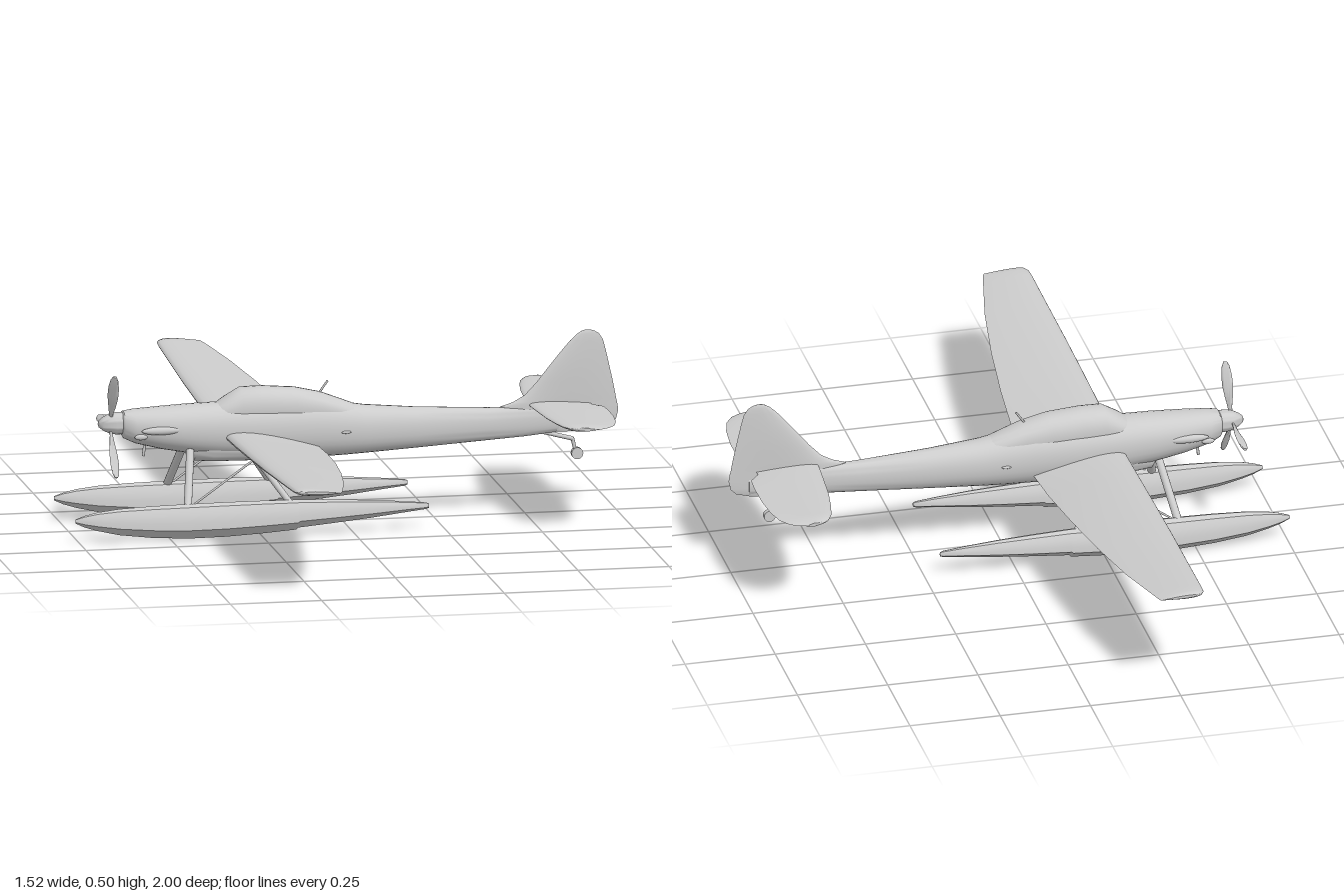
import * as THREE from 'three';
import { toCreasedNormals } from 'three/addons/utils/BufferGeometryUtils.js';

const V = (x, y, z) => new THREE.Vector3(x, y, z);

// Skin a list of rings (arrays of Vector3) and close both ends.
function loft(rings, crease = 0.7) {
  const n = rings[0].length, pos = [], idx = [];
  rings.forEach(r => r.forEach(p => pos.push(p.x, p.y, p.z)));
  for (let i = 0; i < rings.length - 1; i++) {
    for (let j = 0; j < n; j++) {
      const a = i * n + j, b = i * n + (j + 1) % n;
      idx.push(a, a + n, b, b, a + n, b + n);
    }
  }
  [0, rings.length - 1].forEach((r, end) => {
    const c = rings[r].reduce((s, p) => s.add(p), V(0, 0, 0)).divideScalar(n);
    const k = pos.length / 3;
    pos.push(c.x, c.y, c.z);
    for (let j = 0; j < n; j++) {
      const a = r * n + j, b = r * n + (j + 1) % n;
      if (end) idx.push(k, b, a); else idx.push(k, a, b);
    }
  });
  const g = new THREE.BufferGeometry();
  g.setAttribute('position', new THREE.Float32BufferAttribute(pos, 3));
  g.setIndex(idx);
  return toCreasedNormals(g, crease);
}

// Rounded cross-section of a body running along x: [x, bottom, top, halfWidth]
function bodyRing([x, y0, y1, w], n = 28) {
  const soft = v => Math.sign(v) * Math.abs(v) ** 0.88;
  return Array.from({ length: n }, (_, j) => {
    const t = j / n * Math.PI * 2;
    return V(x, (y0 + y1) / 2 + soft(Math.sin(t)) * (y1 - y0) / 2, soft(Math.cos(t)) * w);
  });
}

// Aerofoil outline as [position along chord 0..1, thickness offset]
function foil(thick, n = 28) {
  return Array.from({ length: n }, (_, j) => {
    const t = j / n * Math.PI * 2, u = (1 - Math.cos(t)) / 2;
    const h = 5 * thick * (0.2969 * Math.sqrt(u) - 0.126 * u - 0.3516 * u * u + 0.2843 * u ** 3 - 0.1036 * u ** 4);
    return [u, Math.sign(Math.sin(t)) * h];
  });
}

// Wing-like surface across z; rows: [z, leadX, trailX, leadY, trailY, thickness], mirrored to -z
function panel(rows) {
  const all = [...rows.slice().reverse().map(r => [-r[0], ...r.slice(1)]), ...rows];
  return loft(all.map(([z, x0, x1, y0, y1, t]) =>
    foil(t).map(([u, h]) => V(x0 + (x1 - x0) * u, y0 + (y1 - y0) * u + h, z))));
}

// Float cross-section with a V-shaped keel: [x, keel, top, halfWidth]
function floatRing([x, k, top, w]) {
  const h = top - k;
  const side = [[1, 0.3], [0.95, 0.5], [0.8, 0.74], [0.5, 0.93]];
  const pts = [...side, [0, 1], ...side.slice().reverse().map(([a, b]) => [-a, b]), [0, 0]];
  return pts.map(([a, b]) => V(x, k + h * b, a * w));
}

export function createModel() {
  const model = new THREE.Group();
  const grey = new THREE.MeshStandardMaterial({ color: 0xcccccc });
  grey.name = 'paleGrey';

  function add(name, geo, parent = model) {
    const m = new THREE.Mesh(geo, grey);
    m.name = name;
    parent.add(m);
    return m;
  }
  function strut(name, a, b, r, sides = 12) {
    const d = b.clone().sub(a);
    const m = add(name, new THREE.CylinderGeometry(r, r, d.length(), sides));
    m.position.copy(a).addScaledVector(d, 0.5);
    m.quaternion.setFromUnitVectors(V(0, 1, 0), d.normalize());
    return m;
  }
  function blob(name, p, s) {
    const m = add(name, new THREE.SphereGeometry(1, 20, 12));
    m.position.copy(p);
    m.scale.copy(s);
    return m;
  }

  // Fuselage, belly fairing and canopy
  add('fuselage', loft([
    [-0.605, 0.26, 0.32, 0.03], [-0.6, 0.252, 0.326, 0.037], [-0.57, 0.238, 0.33, 0.048],
    [-0.5, 0.22, 0.334, 0.058], [-0.42, 0.205, 0.338, 0.064], [-0.34, 0.195, 0.34, 0.066],
    [-0.2, 0.184, 0.34, 0.066], [-0.08, 0.181, 0.337, 0.063], [0, 0.183, 0.327, 0.058],
    [0.06, 0.186, 0.317, 0.053], [0.2, 0.194, 0.305, 0.041], [0.4, 0.206, 0.295, 0.025],
    [0.5, 0.212, 0.293, 0.017], [0.6, 0.222, 0.29, 0.011], [0.7, 0.23, 0.28, 0.006]].map(r => bodyRing(r))));
  add('bellyFairing', loft([
    [-0.425, 0.205, 0.25, 0.03], [-0.41, 0.184, 0.26, 0.042], [-0.36, 0.18, 0.26, 0.05],
    [-0.2, 0.178, 0.26, 0.055], [-0.1, 0.179, 0.26, 0.05], [-0.03, 0.187, 0.25, 0.035]].map(r => bodyRing(r))));
  add('canopy', loft([
    [-0.35, 0.28, 0.335, 0.04], [-0.32, 0.27, 0.355, 0.05], [-0.28, 0.26, 0.379, 0.052],
    [-0.22, 0.26, 0.38, 0.053], [-0.13, 0.26, 0.373, 0.052], [-0.06, 0.26, 0.357, 0.048],
    [-0.01, 0.26, 0.338, 0.044], [0.04, 0.26, 0.318, 0.038]].map(r => bodyRing(r))));
  strut('antennaMast', V(-0.065, 0.352, 0), V(-0.04, 0.387, 0), 0.003, 8);
  strut('noseVent', V(-0.545, 0.2, 0), V(-0.54, 0.24, 0), 0.004, 8);

  // Wing and tailplane
  add('wing', panel([
    [0, -0.33, -0.073, 0.252, 0.215, 0.042], [0.2, -0.33, -0.08, 0.259, 0.23, 0.04],
    [0.4, -0.329, -0.096, 0.268, 0.247, 0.035], [0.6, -0.327, -0.119, 0.277, 0.262, 0.03],
    [0.8, -0.323, -0.15, 0.287, 0.277, 0.025], [0.95, -0.32, -0.183, 0.295, 0.29, 0.021],
    [0.98, -0.318, -0.19, 0.297, 0.292, 0.019], [0.995, -0.31, -0.194, 0.298, 0.293, 0.015],
    [1, -0.296, -0.197, 0.298, 0.294, 0.008]]));
  add('tailplane', panel([
    [0, 0.51, 0.68], [0.02, 0.51, 0.68], [0.05, 0.512, 0.706], [0.1, 0.516, 0.709], [0.18, 0.523, 0.708],
    [0.25, 0.534, 0.701], [0.3, 0.545, 0.688], [0.33, 0.56, 0.667], [0.343, 0.576, 0.645], [0.348, 0.595, 0.622]]
    .map(([z, a, b], i) => [z, a, b, 0.299, 0.297, i > 7 ? 0.01 : 0.016])));

  // Fin and rudder, stacked upward: [y, leadX, trailX]
  add('fin', loft([
    [0.222, 0.58, 0.69], [0.235, 0.5, 0.735], [0.25, 0.46, 0.75], [0.275, 0.44, 0.756], [0.295, 0.43, 0.753],
    [0.307, 0.468, 0.75], [0.325, 0.5, 0.747], [0.36, 0.533, 0.74], [0.4, 0.565, 0.731], [0.44, 0.598, 0.722],
    [0.47, 0.624, 0.714], [0.487, 0.642, 0.703], [0.495, 0.655, 0.69], [0.498, 0.664, 0.68]]
    .map(([y, a, b]) => foil(Math.min(0.02, (b - a) * 0.12)).map(([u, h]) => V(b - (b - a) * (1 - u), y, -h)))));

  // Tail wheel
  strut('tailWheelArm', V(0.55, 0.222, 0), V(0.632, 0.2, 0), 0.006);
  strut('tailWheelLeg', V(0.63, 0.203, 0), V(0.64, 0.16, 0), 0.005);
  const wheel = add('tailWheel', new THREE.CylinderGeometry(0.016, 0.016, 0.014, 24));
  wheel.rotation.x = Math.PI / 2;
  wheel.position.set(0.643, 0.16, 0);

  // Spinner and three twisted propeller blades
  const prop = new THREE.Group();
  prop.name = 'propeller';
  prop.position.set(-0.636, 0.293, 0);
  model.add(prop);
  const profile = [[0, 0.034], [0.009, 0.031], [0.018, 0.02], [0.026, 0.004], [0.03, -0.015], [0.03, -0.036], [0, -0.036]]
    .reverse().map(([r, y]) => new THREE.Vector2(r, y));
  add('spinner', toCreasedNormals(new THREE.LatheGeometry(profile, 28), 0.7), prop).rotation.z = Math.PI / 2;
  for (let i = 0; i < 3; i++) {
    const blade = add('blade', loft([
      [0.01, 0.006, 1.1], [0.035, 0.008, 1.0], [0.06, 0.013, 0.85], [0.09, 0.016, 0.65],
      [0.12, 0.015, 0.5], [0.145, 0.011, 0.4], [0.158, 0.005, 0.35]].map(([y, w, twist]) =>
      Array.from({ length: 12 }, (_, j) => {
        const t = j / 12 * Math.PI * 2, c = Math.cos(t) * w, s = Math.sin(t) * 0.0035;
        // rings wind so the skin faces outward along +y
        return V(c * Math.cos(twist) + s * Math.sin(twist), y, c * Math.sin(twist) - s * Math.cos(twist));
      }).reverse())), prop);
    blade.rotation.x = 0.45 + i * Math.PI * 2 / 3;
  }

  // Exhausts, floats and their bracing on both sides
  for (const s of [1, -1]) {
    const side = s > 0 ? 'left' : 'right';
    blob(side + 'Exhaust', V(-0.505, 0.279, s * 0.056), V(0.055, 0.011, 0.01));
    blob(side + 'NoseBulge', V(-0.56, 0.262, s * 0.048), V(0.018, 0.008, 0.006));
    blob(side + 'Step', V(0, 0.255, s * 0.057), V(0.014, 0.004, 0.005));
    const float = add(side + 'Float', loft([
      [-0.76, 0.055, 0.066, 0.003], [-0.735, 0.043, 0.075, 0.011], [-0.7, 0.032, 0.083, 0.018],
      [-0.64, 0.018, 0.09, 0.025], [-0.55, 0.007, 0.094, 0.031], [-0.45, 0.001, 0.096, 0.034],
      [-0.35, 0.002, 0.097, 0.034], [-0.25, 0.007, 0.097, 0.032], [-0.155, 0.014, 0.096, 0.03],
      [-0.15, 0.019, 0.096, 0.029], [-0.05, 0.028, 0.092, 0.025], [0.05, 0.038, 0.087, 0.019],
      [0.14, 0.049, 0.08, 0.012], [0.2, 0.056, 0.074, 0.007], [0.208, 0.059, 0.071, 0.003]].map(floatRing), 0.45));
    float.position.z = s * 0.152;
    strut(side + 'FrontStrut', V(-0.452, 0.085, s * 0.15), V(-0.425, 0.22, s * 0.045), 0.011);
    strut(side + 'RearStrut', V(-0.17, 0.085, s * 0.15), V(-0.265, 0.22, s * 0.045), 0.009);
    strut(side + 'BraceWire', V(-0.44, 0.09, s * 0.15), V(-0.25, 0.225, s * 0.15), 0.003, 8);
  }
  return model;
}
